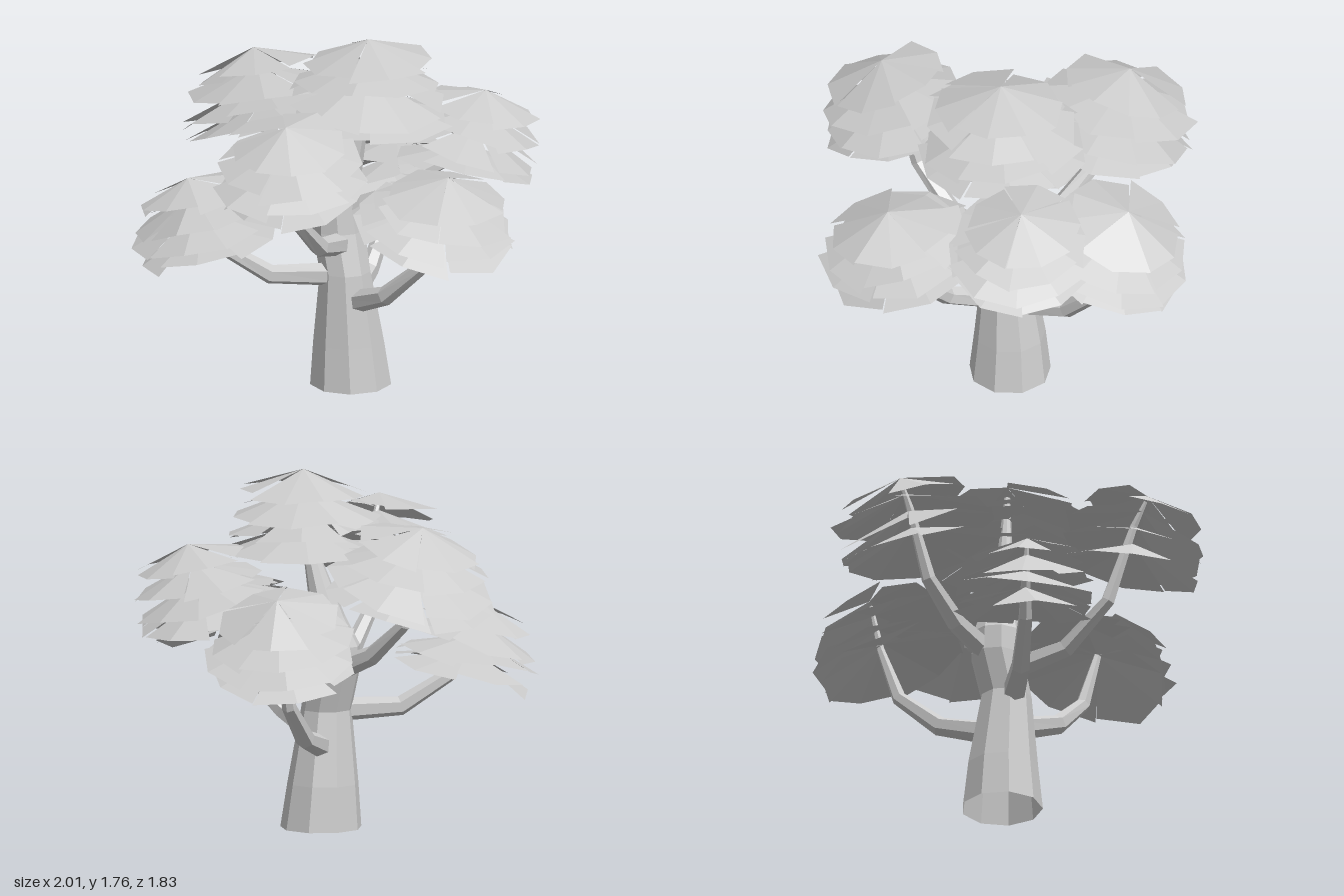
import * as THREE from 'three';

const bark = new THREE.MeshStandardMaterial({ color: 0xcccccc, flatShading: true, side: THREE.DoubleSide });
const leaf = new THREE.MeshStandardMaterial({ color: 0xcccccc, flatShading: true, side: THREE.DoubleSide });
const UP = new THREE.Vector3(0, 1, 0);

// Small repeatable noise in -1..1
function noise(n) {
  const s = Math.sin(n * 12.9898 + 4.1) * 43758.5453;
  return (s - Math.floor(s)) * 2 - 1;
}

function facetedMesh(name, positions, index, material) {
  const indexed = new THREE.BufferGeometry();
  indexed.setAttribute('position', new THREE.Float32BufferAttribute(positions, 3));
  indexed.setIndex(index);
  const geometry = indexed.toNonIndexed();
  geometry.computeVertexNormals();
  const mesh = new THREE.Mesh(geometry, material);
  mesh.name = name;
  return mesh;
}

// Tapered, open-ended faceted limb through points; level keeps every ring horizontal
function limb(name, points, radii, sides, sideways, level) {
  const pos = [], index = [];
  const last = points.length - 1;
  points.forEach((p, i) => {
    const t = level ? UP.clone()
      : points[Math.min(i + 1, last)].clone().sub(points[Math.max(i - 1, 0)]).normalize();
    const a = sideways.clone().addScaledVector(t, -sideways.dot(t)).normalize();
    const b = t.clone().cross(a);
    for (let j = 0; j < sides; j++) {
      const ang = (j + 0.5) / sides * Math.PI * 2;
      const v = p.clone().addScaledVector(a, radii[i] * Math.cos(ang)).addScaledVector(b, radii[i] * Math.sin(ang));
      pos.push(v.x, v.y, v.z);
    }
  });
  for (let i = 0; i < last; i++) {
    for (let j = 0; j < sides; j++) {
      const k = (j + 1) % sides, r = i * sides, s = r + sides;
      index.push(r + j, r + k, s + k, r + j, s + k, s + j);
    }
  }
  return facetedMesh(name, pos, index, bark);
}

// Umbrella of wide petals, each two facets, stepping in reach and droop at their seams
function leafLayer(radius, seed) {
  const petals = 5, pos = [0, 0, 0], index = [];
  for (let p = 0; p < petals; p++) {
    const n = seed * 17 + p * 3;
    const reach = radius * (1 + 0.07 * noise(n));
    const droop = radius * (0.35 + 0.06 * noise(n + 1));
    for (let k = 0; k < 3; k++) {
      const ang = seed * 2.4 + (p + k * 0.5) / petals * Math.PI * 2;
      const r = reach * (1 + 0.04 * noise(n * 2 + k));
      pos.push(r * Math.cos(ang), -droop - 0.02 * noise(n * 3 + k), r * Math.sin(ang));
    }
    const c = 1 + p * 3;
    index.push(0, c + 1, c, 0, c + 2, c + 1);
  }
  return facetedMesh('leafLayer', pos, index, leaf);
}

// Stack of leaf layers hanging from the apex, leaning along axis
function leafCluster(name, apex, axis, radius, spacing, seed) {
  const group = new THREE.Group();
  group.name = name;
  [0.8, 0.95, 1.02, 1].forEach((scale, i) => {
    const layer = leafLayer(radius * scale, seed * 4 + i);
    layer.position.y = -spacing * i;
    layer.rotation.set(0.1 * noise(seed * 5 + i), 0, 0.1 * noise(seed * 9 + i));
    group.add(layer);
  });
  group.position.copy(apex);
  group.quaternion.setFromUnitVectors(UP, axis);
  return group;
}

export function createModel() {
  const tree = new THREE.Group();
  tree.name = 'tree';
  const V = (p) => new THREE.Vector3(...p);

  // Trunk
  const trunk = [
    [0.06, 0, 0], [0.05, 0.22, 0], [0.03, 0.58, 0.015], [0.005, 0.78, -0.035],
    [-0.005, 0.9, -0.035], [0.03, 1.04, -0.02], [0.1, 1.33, 0.02], [0.135, 1.7, 0.04],
  ];
  tree.add(limb('trunk', trunk.map(V), [0.2, 0.175, 0.125, 0.13, 0.12, 0.085, 0.042, 0.015], 9,
    new THREE.Vector3(1, 0, 0), true));
  tree.add(leafCluster('topLeaves', V([0.14, 1.76, 0.04]), UP, 0.39, 0.088, 1));

  // Branches with their leaf clusters: path, apex, radius, layer spacing
  const branches = [
    ['right', [[-0.02, 0.57, 0.04], [-0.34, 0.58, 0.02], [-0.58, 0.73, 0], [-0.7, 0.94, -0.02]], [-0.74, 1.08, -0.02], 0.345, 0.08],
    ['backRight', [[0, 0.78, -0.06], [-0.14, 0.88, -0.26], [-0.26, 1.05, -0.42], [-0.3, 1.4, -0.52]], [-0.32, 1.55, -0.57], 0.39, 0.085],
    ['backLeft', [[0.06, 0.4, -0.05], [0.2, 0.48, -0.28], [0.32, 0.67, -0.46], [0.38, 0.95, -0.54]], [0.41, 1.22, -0.59], 0.365, 0.085],
    ['left', [[0.02, 0.91, -0.03], [0.3, 0.98, -0.04], [0.56, 1.1, -0.06], [0.69, 1.33, -0.08]], [0.74, 1.43, -0.08], 0.335, 0.09],
    ['frontRight', [[0.01, 0.72, 0.03], [-0.14, 0.79, 0.28], [-0.29, 0.99, 0.46], [-0.33, 1.38, 0.58]], [-0.37, 1.53, 0.64], 0.36, 0.085],
    ['frontLeft', [[0.04, 0.42, 0.04], [0.18, 0.53, 0.3], [0.34, 0.72, 0.45], [0.4, 1.0, 0.53]], [0.44, 1.21, 0.58], 0.37, 0.065],
  ];
  branches.forEach(([name, path, apex, radius, spacing], i) => {
    const out = new THREE.Vector3(apex[0], 0, apex[2]).normalize();
    const axis = out.clone().multiplyScalar(0.3).add(UP).normalize();
    const tip = V(apex).addScaledVector(axis, -0.03);
    tree.add(limb(name + 'Branch', [...path.map(V), tip], [0.06, 0.048, 0.036, 0.02, 0.01], 6, UP.clone().cross(out)));
    tree.add(leafCluster(name + 'Leaves', V(apex), axis, radius, spacing, i + 2));
  });
  return tree;
}
